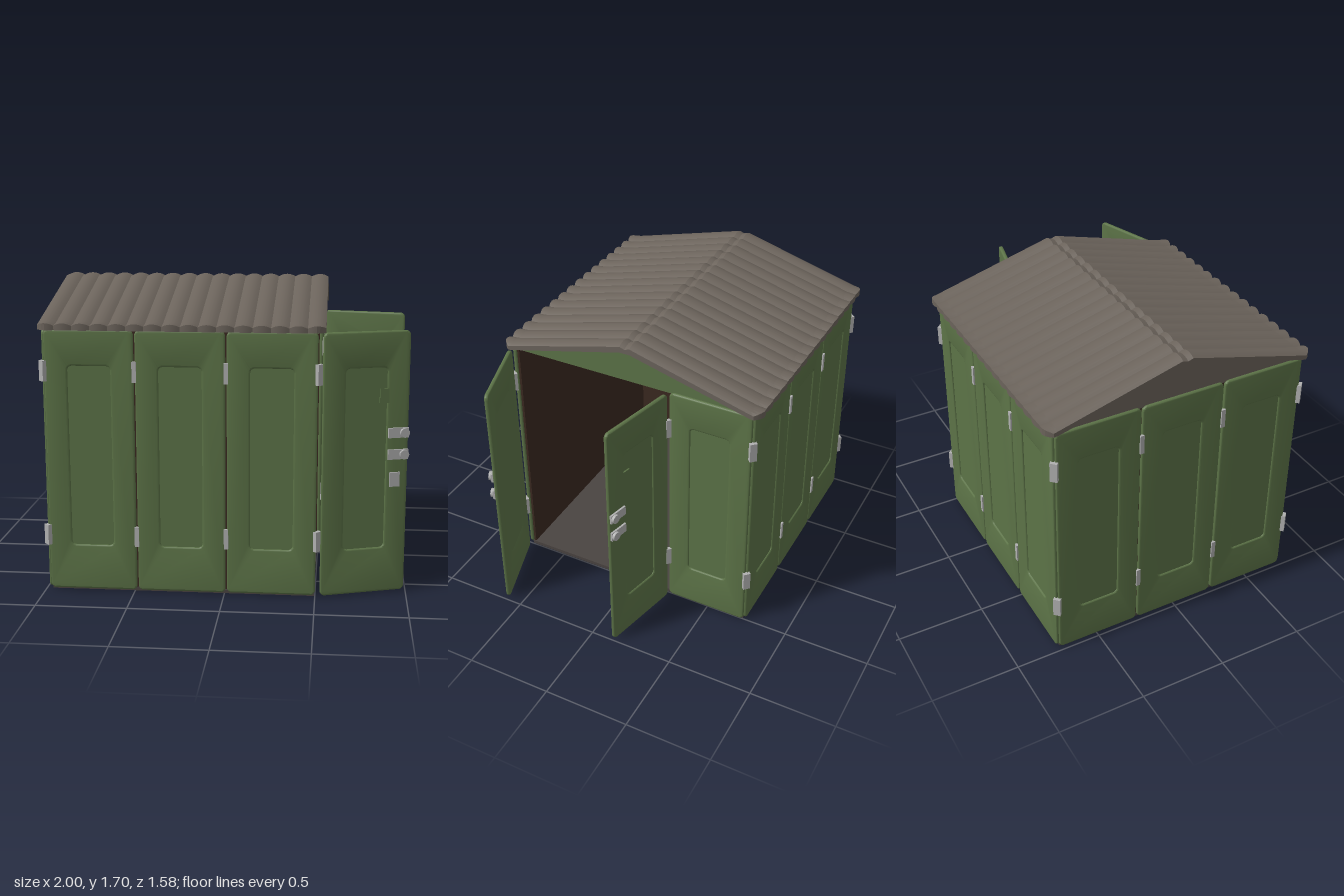
import * as THREE from 'three';
import { toCreasedNormals } from 'three/addons/utils/BufferGeometryUtils.js';

const mat = (color) => new THREE.MeshStandardMaterial({ color, side: THREE.DoubleSide });
const GREEN = mat(0x5c7347), ROOF = mat(0x6b635b), BROWN = mat(0x3a2820), BASE = mat(0x4a4441), METAL = mat(0xb0b0b0);
const PITCH = 0.493, PW = 0.485, Y0 = 0.01, Y1 = 1.465;

function add(parent, name, geo, material, x = 0, y = 0, z = 0, ry = 0) {
  const m = new THREE.Mesh(geo, material);
  m.name = name;
  m.position.set(x, y, z);
  m.rotation.y = ry;
  parent.add(m);
  return m;
}
const box = (w, h, d) => new THREE.BoxGeometry(w, h, d);

function roundRect(Type, x0, y0, x1, y1, r) {
  const s = new Type();
  s.absarc(x1 - r, y0 + r, r, -Math.PI / 2, 0);
  s.absarc(x1 - r, y1 - r, r, 0, Math.PI / 2);
  s.absarc(x0 + r, y1 - r, r, Math.PI / 2, Math.PI);
  s.absarc(x0 + r, y0 + r, r, Math.PI, Math.PI * 1.5);
  s.closePath();
  return s;
}

// Panel frame with a bevelled rim and window-like recess; outer face at z = 0
const BEV = 0.01;
const frameShape = roundRect(THREE.Shape, -PW / 2 + BEV, Y0 + BEV, PW / 2 - BEV, Y1 - BEV, 0.018);
frameShape.holes.push(roundRect(THREE.Path, -0.123 - 0.004, 0.256, 0.127, 1.279, 0.035));
const frameGeo = toCreasedNormals(new THREE.ExtrudeGeometry(frameShape, {
  depth: 0.008, bevelThickness: 0.008, bevelSize: BEV, bevelSegments: 3, curveSegments: 5,
}).translate(0, 0, -0.016), 0.6);

function panel(name) {
  const g = new THREE.Group();
  g.name = name;
  add(g, 'panelFrame', frameGeo, GREEN);
  add(g, 'panelRecess', box(0.28, 1.06, 0.014), GREEN, 0, 0.767, -0.016);
  return g;
}

// Open door; side = +1 if the free edge lies toward local +x
function door(name, side) {
  const g = new THREE.Group();
  g.name = name;
  const leaf = panel('doorLeaf');
  leaf.position.x = side * PW / 2;
  g.add(leaf);
  add(leaf, 'doorPlate', box(0.1, 0.08, 0.008), GREEN, side * 0.125, 1.115, -0.004);
  for (const y of [0.91, 0.79]) {
    add(leaf, 'latch', box(0.115, 0.055, 0.012), METAL, side * 0.183, y, 0.005);
    const knob = new THREE.CylinderGeometry(0.026, 0.026, 0.02, 16).rotateX(Math.PI / 2);
    add(leaf, 'latchKnob', knob, METAL, side * 0.215, y, 0.016);
  }
  if (side > 0) add(leaf, 'lockPlate', box(0.058, 0.08, 0.012), METAL, 0.167, 0.65, 0.003);
  return g;
}

// Corrugated roof: one closed section swept along x, lifted by a scallop rule
function roofGeometry() {
  const half = [[0.79, 1.503, 1.465], [0.73, 1.508, 1.467], [0.03, 1.7, 1.65]];
  const prof = [...half, [0, 1.69, 1.65], ...half.map(([z, t, b]) => [-z, t, b]).reverse()];
  const TILES = 16, SEG = 6, N = TILES * SEG, L = 1.54;
  const rings = [];
  for (let i = 0; i <= N; i++) {
    const u = (i % SEG) / SEG, dip = (2 * u - 1) ** 2, x = (i / N - 0.5) * L;
    const end = Math.max(0, 1 - (L / 2 - Math.abs(x)) / 0.06);
    const top = [], bottom = [];
    prof.forEach(([z, t, b], k) => {
      const pull = k === 0 || k === prof.length - 1 ? Math.sign(z) * (0.01 * dip + 0.03 * end * end) : 0;
      top.push([x, t - 0.014 * dip, z - pull]);
      bottom.push([x, b, z - pull]);
    });
    rings.push([...top, ...bottom.reverse()]);
  }
  const pos = [];
  const quad = (a, b, c, d) => pos.push(...a, ...b, ...c, ...a, ...c, ...d);
  const M = rings[0].length;
  for (let i = 0; i < N; i++)
    for (let j = 0; j < M; j++) {
      const k = (j + 1) % M;
      quad(rings[i][j], rings[i + 1][j], rings[i + 1][k], rings[i][k]);
    }
  const A = rings[0], Z = rings[N];
  for (let j = 0; j < prof.length - 1; j++) {
    quad(Z[M - 1 - j], Z[M - 2 - j], Z[j + 1], Z[j]);
    quad(A[j], A[j + 1], A[M - 2 - j], A[M - 1 - j]);
  }
  const g = new THREE.BufferGeometry();
  g.setAttribute('position', new THREE.Float32BufferAttribute(pos, 3));
  return toCreasedNormals(g, 0.25);
}

export function createModel() {
  const model = new THREE.Group();
  model.name = 'shed';
  const body = new THREE.Group();
  body.name = 'shedBody';
  body.position.x = -0.235;
  model.add(body);

  add(body, 'floor', box(1.46, 0.022, 1.46), BASE, 0, 0.011, 0);

  // Four sides; the right-hand side keeps only its rear panel
  ['front', 'right', 'back', 'left'].forEach((side, k) => {
    const wall = new THREE.Group();
    wall.name = side + 'Wall';
    wall.rotation.y = k * Math.PI / 2;
    body.add(wall);
    const open = side === 'right';
    for (let i = open ? 1 : -1; i <= 1; i++) {
      const p = panel(side + 'Panel');
      p.position.set(i * PITCH, 0, 0.75);
      wall.add(p);
    }
    const w = open ? PITCH - 0.01 : 1.45;
    add(wall, 'innerLining', box(w, 1.445, 0.014), BROWN, open ? PITCH - 0.01 : 0, 0.742, 0.719);
    for (const y of [0.32, 1.24]) {
      for (const x of open ? [] : [-PITCH / 2, PITCH / 2])
        add(wall, 'hinge', box(0.024, 0.113, 0.016), METAL, x, y, 0.75);
      add(wall, 'cornerHinge', box(0.04, 0.113, 0.024), METAL, 0.744, y, 0.744, Math.PI / 4);
    }
  });

  // Gable ends
  const gable = new THREE.Shape([[-0.73, 1.455], [0.73, 1.455], [0.73, 1.47], [0.03, 1.652], [-0.03, 1.652], [-0.73, 1.47]]
    .map(([x, y]) => new THREE.Vector2(x, y)));
  const gableGeo = new THREE.ExtrudeGeometry(gable, { depth: 0.02, bevelEnabled: false }).rotateY(Math.PI / 2);
  add(body, 'rightGable', gableGeo, GREEN, 0.715);
  add(body, 'leftGable', gableGeo, ROOF, -0.735);

  add(body, 'roof', roofGeometry(), ROOF, 0.005);

  // Double doors standing open
  const frontDoor = door('frontDoor', 1);
  frontDoor.position.set(0.765, 0, 0.757);
  frontDoor.rotation.y = 0.318;
  const rearDoor = door('rearDoor', -1);
  rearDoor.position.set(0.76, 0, -0.25);
  rearDoor.rotation.y = Math.PI - 0.215;
  body.add(frontDoor, rearDoor);
  for (const y of [0.32, 1.24])
    add(body, 'doorHinge', box(0.03, 0.113, 0.02), METAL, 0.758, y, -0.252, Math.PI * 0.75);

  return model;
}
